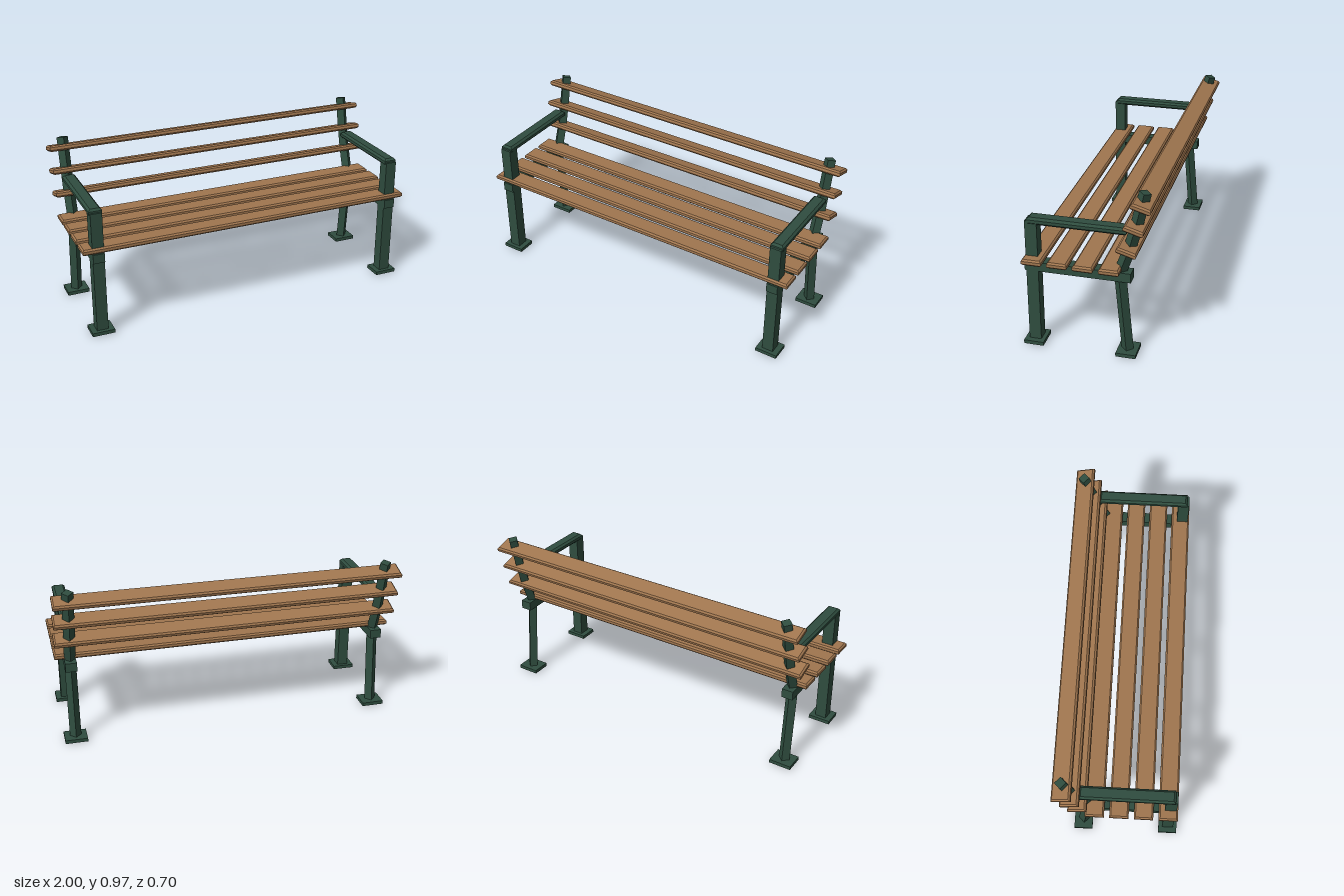
import * as THREE from 'three';

const green = new THREE.MeshStandardMaterial({ name: 'green painted metal', color: 0x2f4d3f });
const wood = new THREE.MeshStandardMaterial({ name: 'brown wood', color: 0xa0764f });

function part(name, geometry, material, x, y, z) {
  const mesh = new THREE.Mesh(geometry, material);
  mesh.name = name;
  mesh.position.set(x, y, z);
  return mesh;
}

// Plank lying flat, with one chamfer around its top and bottom faces
function plank(w, h, d, bevel) {
  const a = w / 2 - bevel, b = d / 2 - bevel;
  const shape = new THREE.Shape([[-a, -b], [a, -b], [a, b], [-a, b]].map(([x, y]) => new THREE.Vector2(x, y)));
  const geometry = new THREE.ExtrudeGeometry(shape, {
    depth: h - 2 * bevel, bevelEnabled: true, bevelThickness: bevel, bevelSize: bevel, bevelSegments: 1,
  });
  return geometry.rotateX(-Math.PI / 2).translate(0, -h / 2 + bevel, 0);
}

// Capped four-sided bar with its corners facing front and sides, bent along a [y, z] path
function diamondBar(points, radius, segments) {
  const curve = new THREE.CatmullRomCurve3(points.map(([y, z]) => new THREE.Vector3(0, y, z)));
  const geometry = new THREE.CylinderGeometry(radius, radius, 1, 4, segments).toNonIndexed();
  const pos = geometry.attributes.position;
  for (let i = 0; i < pos.count; i++) {
    const t = THREE.MathUtils.clamp(pos.getY(i) + 0.5, 0, 1);
    const p = curve.getPointAt(t), tan = curve.getTangentAt(t);
    const z = pos.getZ(i);
    pos.setXYZ(i, pos.getX(i), p.y - z * tan.z, p.z + z * tan.y);
  }
  geometry.computeVertexNormals();
  return geometry;
}

export function createModel() {
  const bench = new THREE.Group();
  bench.name = 'bench';

  // Metal end frames
  for (const side of [-1, 1]) {
    const frame = new THREE.Group();
    frame.name = side > 0 ? 'leftFrame' : 'rightFrame';
    frame.position.x = side * 0.912;
    frame.add(
      part('frontLeg', new THREE.BoxGeometry(0.066, 0.733, 0.066), green, 0, 0.3715, 0.298),
      part('rearLeg', diamondBar([[0.003, -0.213], [0.47, -0.172]], 0.033, 1), green, 0, 0, 0),
      part('backPost', diamondBar([[0.46, -0.162], [0.535, -0.188], [0.645, -0.226], [0.77, -0.259], [0.958, -0.303]], 0.033, 8), green, 0, 0, 0),
      part('seatBeam', new THREE.BoxGeometry(0.066, 0.053, 0.576), green, 0, 0.474, 0.052),
      part('armrest', plank(0.075, 0.041, 0.534, 0.012), green, 0, 0.739, 0.052),
      part('frontFoot', new THREE.BoxGeometry(0.13, 0.021, 0.11), green, 0, 0.0155, 0.298),
      part('rearFoot', new THREE.BoxGeometry(0.13, 0.021, 0.11), green, 0, 0.0155, -0.214),
    );
    bench.add(frame);
  }

  // Wooden slats
  const slat = plank(2, 0.034, 0.109, 0.009);
  for (let i = 0; i < 4; i++) {
    bench.add(part(`seatSlat${i + 1}`, slat, wood, 0, 0.52, 0.286 - i * 0.139));
  }
  for (let i = 0; i < 3; i++) {
    const backSlat = part(`backSlat${i + 1}`, slat, wood, 0, 0.645 + i * 0.127, -0.223 - i * 0.037);
    backSlat.rotation.x = -0.29;
    bench.add(backSlat);
  }
  return bench;
}
